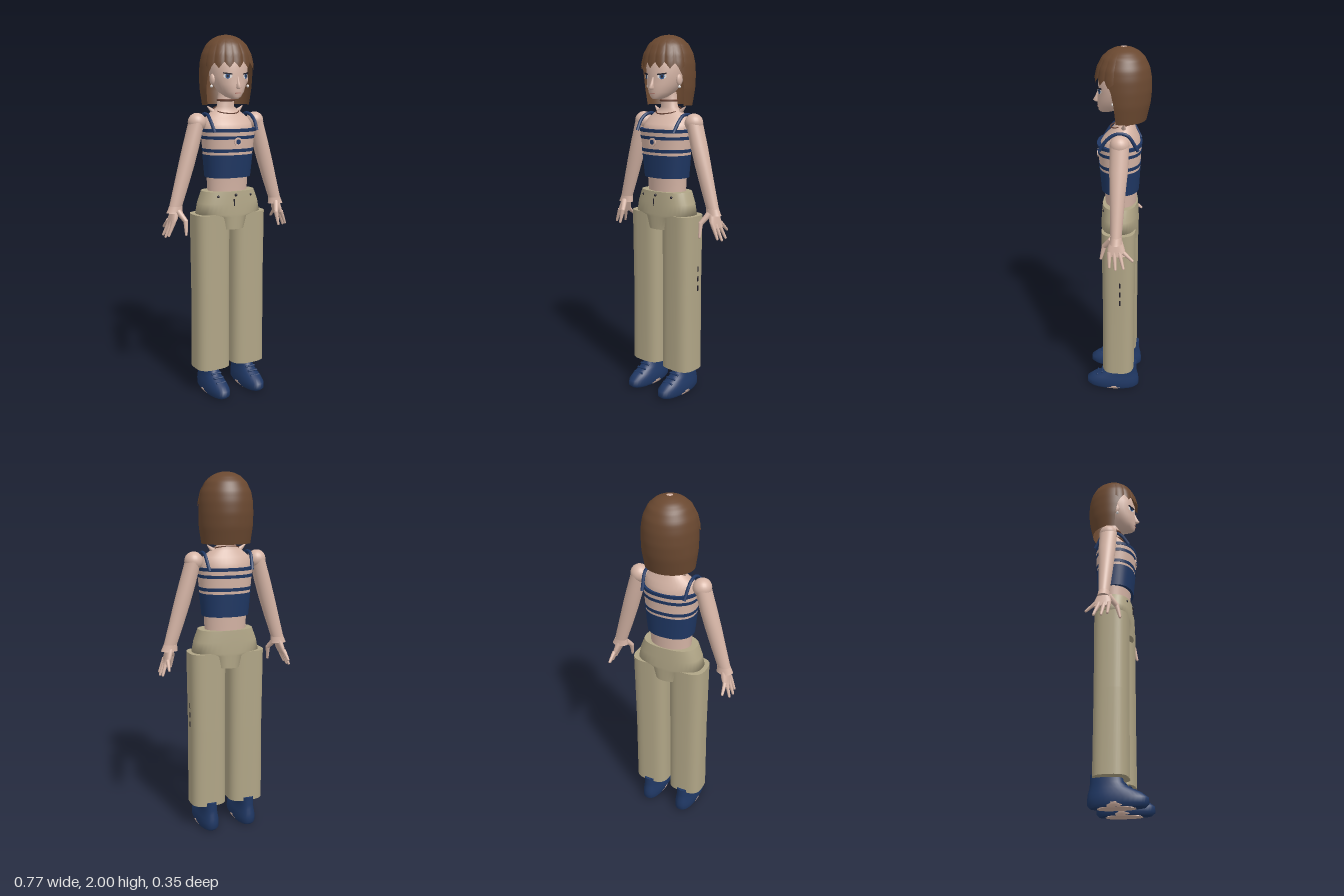
import * as THREE from 'three';

const mat = (name, color, double) => {
  const m = new THREE.MeshStandardMaterial({ color });
  m.name = name;
  if (double) m.side = THREE.DoubleSide;
  return m;
};

// Closed stack of superellipse rings: [y, halfWidth, zFront, zBack, centreX]
function loft(rings, n = 2, seg = 36) {
  const pos = [], idx = [];
  const pw = (v) => Math.sign(v) * Math.pow(Math.abs(v), 2 / n);
  const ring = ([y, rx, zf, zb, cx = 0]) => {
    for (let j = 0; j < seg; j++) {
      const t = (j / seg) * Math.PI * 2;
      pos.push(cx + rx * pw(Math.cos(t)), y, (zf + zb) / 2 + ((zf - zb) / 2) * pw(Math.sin(t)));
    }
  };
  rings.forEach(ring);
  for (let i = 0; i < rings.length - 1; i++) {
    for (let j = 0; j < seg; j++) {
      const k = (j + 1) % seg, a = i * seg + j, b = i * seg + k;
      idx.push(a, a + seg, b, b, a + seg, b + seg);
    }
  }
  // Separate cap rings keep the rims sharp
  [rings[0], rings[rings.length - 1]].forEach((r, top) => {
    const s = pos.length / 3;
    ring(r);
    pos.push(r[4] || 0, r[0], (r[2] + r[3]) / 2);
    for (let j = 0; j < seg; j++) {
      const k = (j + 1) % seg;
      if (top) idx.push(s + seg, s + k, s + j);
      else idx.push(s + seg, s + j, s + k);
    }
  });
  return finish(pos, idx);
}

function finish(pos, idx) {
  const g = new THREE.BufferGeometry();
  g.setAttribute('position', new THREE.Float32BufferAttribute(pos, 3));
  g.setIndex(idx);
  g.computeVertexNormals();
  return g;
}

// Open sheet from a point rule f(u, v)
function sheet(nu, nv, f) {
  const pos = [], idx = [];
  for (let i = 0; i <= nv; i++) for (let j = 0; j <= nu; j++) pos.push(...f(j / nu, i / nv));
  for (let i = 0; i < nv; i++) {
    for (let j = 0; j < nu; j++) {
      const a = i * (nu + 1) + j, b = a + nu + 1;
      idx.push(a, b, a + 1, a + 1, b, b + 1);
    }
  }
  return finish(pos, idx);
}

export function createModel() {
  const skin = mat('skin', 0xd6b5a6), hairMat = mat('hair brown', 0x6a4830, true);
  const navy = mat('navy', 0x1f3763), khaki = mat('khaki', 0xb0a586);
  const dark = mat('dark', 0x23202a), blue = mat('eye blue', 0x34588c);
  const white = mat('eye white', 0xe6e2e0), lip = mat('lip', 0xb98478);
  const brown = mat('choker brown', 0x6b4436);
  const model = new THREE.Group();
  const add = (name, geo, m, parent = model) => {
    const mesh = new THREE.Mesh(geo, m);
    mesh.name = name;
    parent.add(mesh);
    return mesh;
  };
  // Tapered round bar between two points with a rounded end
  const rod = (name, a, b, r0, r1, m) => {
    const A = new THREE.Vector3(...a), B = new THREE.Vector3(...b), d = B.clone().sub(A);
    const bar = add(name, new THREE.CylinderGeometry(r1, r0, d.length(), 10), m);
    bar.position.copy(A).addScaledVector(d, 0.5);
    bar.quaternion.setFromUnitVectors(new THREE.Vector3(0, 1, 0), d.normalize());
    add(name + 'Tip', new THREE.SphereGeometry(r1, 10, 8), m).position.copy(B);
  };
  const tube = (pts, r) => new THREE.TubeGeometry(
    new THREE.CatmullRomCurve3(pts.map((p) => new THREE.Vector3(...p))), 24, r, 8);

  // Torso and neck
  add('torso', loft([[1.14, 0.115, 0.065, -0.1], [1.24, 0.12, 0.072, -0.106], [1.36, 0.132, 0.088, -0.115],
    [1.49, 0.148, 0.1, -0.122], [1.53, 0.145, 0.075, -0.115], [1.56, 0.13, 0.045, -0.1], [1.595, 0.085, 0.018, -0.088],
    [1.62, 0.05, 0.006, -0.076], [1.7, 0.043, 0.01, -0.07]]), skin);

  // Striped top, one slice for each band
  const bust = (y, s) => {
    const k = (y - 1.24) / 0.265;
    return [y, 0.13 + 0.025 * k - s, 0.086 + 0.024 * k - s, -0.115 - 0.015 * k + s];
  };
  const bands = [1.24, 1.365, 1.38, 1.398, 1.45, 1.467, 1.488, 1.505];
  for (let i = 0; i < bands.length - 1; i++) {
    const s = i % 2 ? 0.002 : 0;
    add(i % 2 ? 'paleBand' : 'navyBand', loft([bust(bands[i], s), bust(bands[i + 1], s)], 2.3), i % 2 ? skin : navy);
  }
  [[0.023, 0.106, skin], [0.013, 0.109, navy]].forEach(([r, z, m]) => {
    const badge = add('badge', new THREE.CylinderGeometry(r, r, 0.006, 20), m);
    badge.rotation.x = Math.PI / 2;
    badge.position.set(0, 1.437, z);
  });

  // Neck jewellery
  const choker = add('choker', new THREE.TorusGeometry(0.045, 0.006, 8, 32), brown);
  choker.rotation.x = Math.PI / 2;
  choker.position.set(0, 1.655, -0.031);
  const chain = add('necklace', new THREE.TorusGeometry(0.069, 0.003, 6, 40), brown);
  chain.rotation.x = Math.PI / 2 + 0.25;
  chain.position.set(0, 1.602, -0.028);

  // Trousers
  add('trouserHips', loft([[0.955, 0.082, 0.086, -0.113], [1.025, 0.115, 0.088, -0.115], [1.04, 0.19, 0.088, -0.115],
    [1.1, 0.178, 0.086, -0.113], [1.165, 0.153, 0.08, -0.108]], 2.5), khaki);
  [[-0.1, 1.14, 0.066], [0.1, 1.14, 0.066], [0, 1.145, 0.083]].forEach(([x, y, z]) => {
    add('stud', new THREE.SphereGeometry(0.008, 10, 8), dark).position.set(x, y, z);
  });
  add('fly', new THREE.BoxGeometry(0.005, 0.04, 0.006), dark).position.set(-0.012, 1.105, 0.085);
  for (let i = 0; i < 3; i++) {
    add('sideSlit', new THREE.BoxGeometry(0.006, 0.03, 0.008), dark).position.set(0.211, 0.63 + i * 0.055, -0.03);
  }

  for (const s of [1, -1]) {
    add('trouserLeg', loft([[0.15, 0.102, 0.076, -0.106, s * 0.112], [0.6, 0.1, 0.074, -0.105, s * 0.111],
      [1.04, 0.103, 0.077, -0.107, s * 0.112]], 3), khaki);

    // Shoe
    add('shoe', loft([[0.004, 0.052, 0.155, -0.12, s * 0.112], [0.02, 0.061, 0.174, -0.135, s * 0.112],
      [0.05, 0.061, 0.172, -0.135, s * 0.112], [0.075, 0.055, 0.14, -0.132, s * 0.112], [0.1, 0.048, 0.085, -0.125, s * 0.112],
      [0.125, 0.045, 0.05, -0.122, s * 0.112], [0.17, 0.043, 0.04, -0.122, s * 0.112]], 2.3), navy);
    add('sole', loft([[0, 0.048, 0.11, -0.085, s * 0.112], [0.012, 0.06, 0.085, -0.06, s * 0.112],
      [0.026, 0.063, 0.045, -0.03, s * 0.112]], 2.6), skin);
    for (let i = 0; i < 3; i++) {
      rod('lace', [s * 0.112 - 0.028, 0.083 + i * 0.018, 0.11 - i * 0.027],
        [s * 0.112 + 0.028, 0.083 + i * 0.018, 0.11 - i * 0.027], 0.006, 0.006, navy);
    }

    // Shoulder strap and collar point
    add('strap', tube([[s * 0.13, 1.49, 0.085], [s * 0.135, 1.55, 0.045], [s * 0.13, 1.58, 0], [s * 0.13, 1.575, -0.06],
      [s * 0.12, 1.49, -0.115]], 0.009), navy);
    rod('collarPoint', [s * 0.06, 1.58, -0.035], [s * 0.108, 1.622, -0.04], 0.02, 0.003, skin);

    // Arm
    const ball = add('shoulder', new THREE.SphereGeometry(0.05, 24, 16), skin);
    ball.position.set(s * 0.18, 1.54, -0.025);
    add('arm', loft([[1.085, 0.036, 0.009, -0.049, s * 0.318], [1.2, 0.041, 0.014, -0.056, s * 0.282],
      [1.32, 0.045, 0.02, -0.064, s * 0.246], [1.42, 0.045, 0.024, -0.072, s * 0.217], [1.54, 0.042, 0.024, -0.074, s * 0.184]]), skin);
    add('cuff', loft([[1.06, 0.046, 0.014, -0.054, s * 0.322], [1.07, 0.043, 0.012, -0.052, s * 0.32],
      [1.095, 0.037, 0.01, -0.05, s * 0.315]]), skin);

    // Hand
    add('palm', loft([[0.995, 0.012, 0.018, -0.072, s * 0.345], [1.03, 0.018, 0.024, -0.068, s * 0.333],
      [1.08, 0.022, 0.01, -0.05, s * 0.318]], 2.4, 20), skin);
    [[0.013, 0.01, 0.372, 0.935], [-0.013, -0.022, 0.377, 0.925], [-0.039, -0.063, 0.372, 0.93], [-0.06, -0.108, 0.348, 0.965]]
      .forEach(([z0, z1, x, y]) => rod('finger', [s * 0.342, 1.015, z0], [s * x, y + 0.007, z1], 0.012, 0.007, skin));
    rod('thumb', [s * 0.312, 1.07, 0.005], [s * 0.287, 1.02, 0.045], 0.017, 0.013, skin);
    rod('thumbEnd', [s * 0.287, 1.02, 0.045], [s * 0.293, 0.95, 0.062], 0.013, 0.007, skin);

    // Ear and earring
    const ear = add('ear', new THREE.SphereGeometry(0.025, 14, 10), skin);
    ear.scale.set(0.5, 1.2, 0.8);
    ear.position.set(s * 0.102, 1.765, 0.005);
    add('earring', new THREE.SphereGeometry(0.008, 10, 8), white).position.set(s * 0.112, 1.73, 0.015);

    // Eye
    const eye = new THREE.Group();
    eye.name = 'eye';
    eye.position.set(s * 0.054, 1.783, 0.089);
    eye.rotation.y = s * 0.55;
    model.add(eye);
    [[0.024, 0.013, white], [0.013, 0.0145, blue], [0.006, 0.007, dark]].forEach(([w, h, m], i) => {
      const disc = add('eyePart', new THREE.CircleGeometry(1, 24), m, eye);
      disc.scale.set(w, h, 1);
      disc.position.z = i * 0.0015;
    });
    const lash = add('lash', new THREE.BoxGeometry(0.05, 0.007, 0.005), dark, eye);
    lash.position.set(0, 0.013, 0.002);
    lash.rotation.z = s * 0.12;
  }

  // Head, nose and mouth
  add('head', loft([[1.664, 0.018, 0.092, 0.04], [1.675, 0.04, 0.101, 0], [1.7, 0.066, 0.105, -0.05],
    [1.74, 0.088, 0.107, -0.09], [1.78, 0.1, 0.1, -0.11], [1.83, 0.106, 0.103, -0.12], [1.89, 0.1, 0.085, -0.12],
    [1.94, 0.075, 0.045, -0.1]]), skin);
  add('nose', loft([[1.716, 0.008, 0.118, 0.09], [1.724, 0.013, 0.131, 0.09], [1.745, 0.009, 0.118, 0.09],
    [1.78, 0.006, 0.103, 0.08]], 2, 16), skin);
  add('mouth', new THREE.BoxGeometry(0.032, 0.006, 0.006), lip).position.set(0, 1.694, 0.103);

  // Hair: [y, halfWidth, halfDepth, front edge z]
  const rows = [[2, 0.016, 0.016, 1], [1.995, 0.042, 0.042, 1], [1.98, 0.075, 0.075, 1], [1.95, 0.108, 0.108, 0.07],
    [1.9, 0.133, 0.133, 0.065], [1.85, 0.143, 0.143, 0.05], [1.79, 0.146, 0.146, 0.022], [1.72, 0.145, 0.14, 0.008], [1.63, 0.133, 0.12, 0]];
  const row = (y) => {
    let i = 0;
    while (i < rows.length - 2 && rows[i + 1][0] > y) i++;
    const k = (rows[i][0] - y) / (rows[i][0] - rows[i + 1][0]);
    return rows[i].map((v, c) => v + (rows[i + 1][c] - v) * k);
  };
  add('bob', sheet(48, 32, (u, v) => {
    const [y, rx, rz, zf] = row(2 - 0.37 * Math.pow(v, 1.5));
    const t0 = Math.asin(Math.min(1, (zf + 0.03) / rz));
    const t = -t0 + u * (Math.PI + 2 * t0);
    return [rx * Math.cos(t), y, -0.03 - rz * Math.sin(t)];
  }), hairMat);

  // Fringe of pointed locks, longer at the temples
  add('fringe', sheet(84, 14, (u, v) => {
    const gap = Math.abs(((u * 7) % 1) - 0.5) * 2, side = Math.abs(u * 2 - 1);
    const end = 1.825 + 0.032 * gap - 0.02 * side ** 4;
    const [y, rx, rz] = row(1.994 - (1.994 - end) * Math.pow(v, 1.4));
    const a = (u * 2 - 1) * 1.3, k = 1.015 + 0.035 * (1 - gap * gap) * v;
    return [rx * k * Math.sin(a), y, -0.03 + rz * k * Math.cos(a)];
  }), hairMat);
  const crown = add('crownSpot', new THREE.CircleGeometry(0.016, 24), skin);
  crown.rotation.x = -Math.PI / 2;
  crown.position.set(0, 2, -0.03);

  return model;
}
